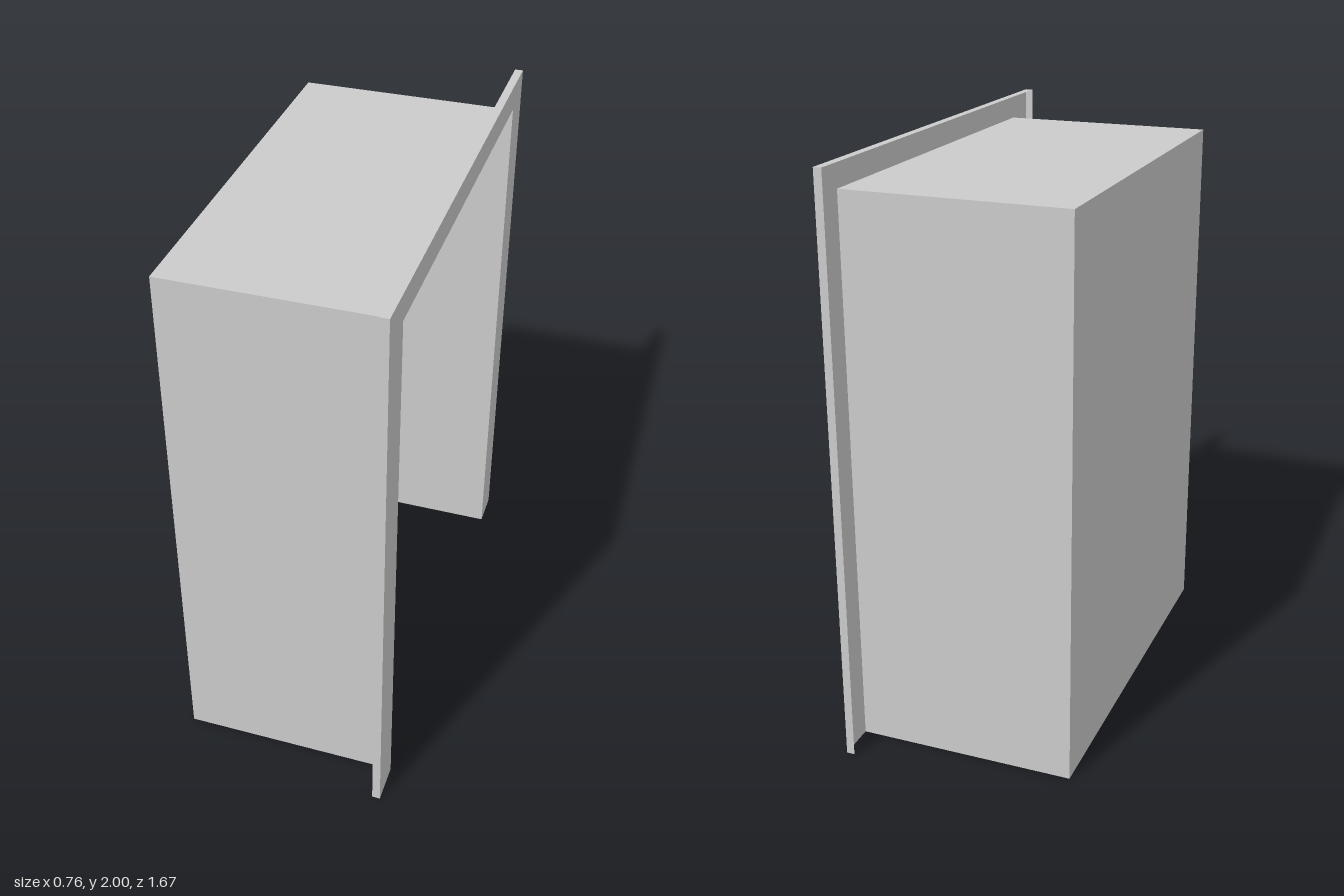
import * as THREE from 'three';

const X = 0.378;      // half depth
const W = 0.70;       // half width of the recess
const H = 1.91;       // height of the recess
const FW = 0.834;     // half width of the front trim
const FH = 2;         // height of the front trim
const LIP = 0.028;    // depth of the trim's returned edge

const sheet = new THREE.MeshStandardMaterial({ color: 0xcccccc, side: THREE.DoubleSide });
const solid = new THREE.MeshStandardMaterial({ color: 0xcccccc });

function add(parent, name, geometry, material) {
  const mesh = new THREE.Mesh(geometry, material);
  mesh.name = name;
  parent.add(mesh);
  return mesh;
}

// Thin panel facing z, x or y
const sidePanel = (w, h, x, z) => new THREE.PlaneGeometry(w, h).translate(x, h / 2, z);
const backPanel = (w, h, x) => new THREE.PlaneGeometry(w, h).rotateY(-Math.PI / 2).translate(x, h / 2, 0);
const topPanel = (dx, dz, x, y) => new THREE.PlaneGeometry(dx, dz).rotateX(-Math.PI / 2).translate(x, y, 0);

export function createModel() {
  const model = new THREE.Group();
  model.name = 'closet';

  // Recess: back, ceiling and two sides, open below and at the front
  const shell = new THREE.Group();
  shell.name = 'shell';
  add(shell, 'backWall', backPanel(2 * W, H, -X), sheet);
  add(shell, 'ceiling', topPanel(2 * X, 2 * W, 0, H), sheet);

  // Trim: U-shaped face plate with a returned outer edge
  const trim = new THREE.Group();
  trim.name = 'trim';
  const face = new THREE.Shape([
    [-FW, 0], [-W, 0], [-W, H], [W, H], [W, 0], [FW, 0], [FW, FH], [-FW, FH],
  ].map(([z, y]) => new THREE.Vector2(z, y)));
  add(trim, 'trimFace', new THREE.ShapeGeometry(face).rotateY(Math.PI / 2).translate(X, 0, 0), sheet);
  add(trim, 'trimTopEdge', topPanel(LIP, 2 * FW, X - LIP / 2, FH), sheet);

  // Hanging rail with a flared mount at each end
  const rail = new THREE.Group();
  rail.name = 'hangingRail';
  rail.position.y = 1.733;
  add(rail, 'rod', new THREE.CylinderGeometry(0.037, 0.037, 2 * W, 32, 1, true).rotateX(Math.PI / 2), solid);
  const flare = [[0.063, 0], [0.063, 0.004], [0.048, 0.025], [0.036, 0.025]]
    .map(([r, y]) => new THREE.Vector2(r, y));

  for (const s of [-1, 1]) {
    const side = s > 0 ? 'front' : 'rear';
    add(shell, side + 'Wall', sidePanel(2 * X, H, 0, s * W), sheet);
    add(trim, side + 'TrimEdge', sidePanel(LIP, FH, X - LIP / 2, s * FW), sheet);
    const mount = new THREE.LatheGeometry(flare, 32).toNonIndexed();
    mount.computeVertexNormals();
    mount.rotateX(-s * Math.PI / 2).translate(0, 0, s * W);
    add(rail, side + 'Mount', mount, sheet);
  }

  model.add(shell, trim, rail);
  return model;
}
